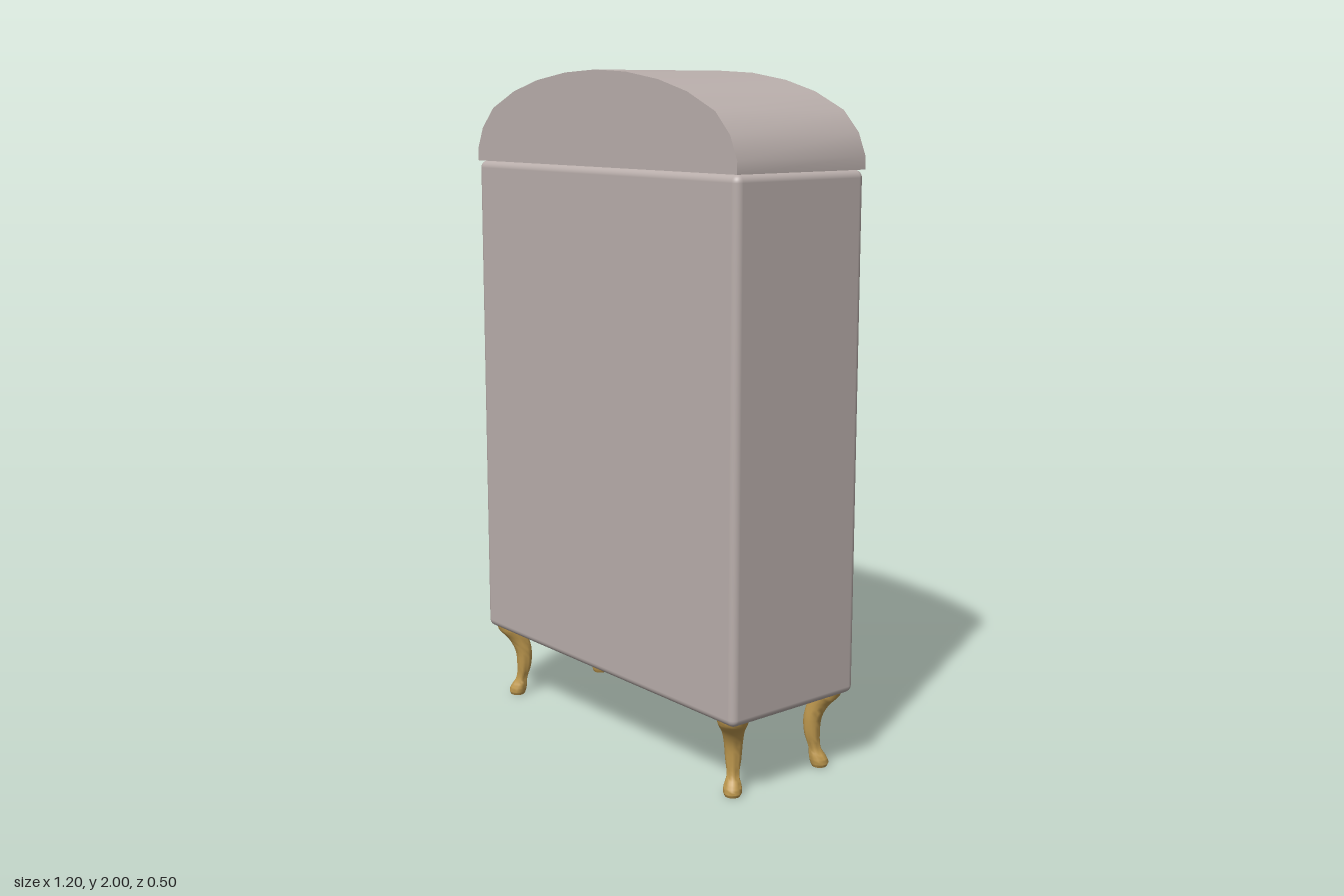
import * as THREE from 'three';
import { toCreasedNormals } from 'three/addons/utils/BufferGeometryUtils.js';
import { RoundedBoxGeometry } from 'three/addons/geometries/RoundedBoxGeometry.js';

const BACK = -0.222, FRONT = 0.248, MID = (BACK + FRONT) / 2, DEPTH = FRONT - BACK;

const mat = (name, color) => {
  const m = new THREE.MeshStandardMaterial({ color });
  m.name = name;
  return m;
};

// Arched door outline, shrunk inwards by inset
function archPath(inset, PathType = THREE.Shape) {
  const w = 0.54 - inset, spring = 1.38, p = new PathType();
  p.moveTo(-w, 0.3 + inset);
  p.lineTo(w, 0.3 + inset);
  p.lineTo(w, spring);
  p.absellipse(0, spring, w, 0.31 - inset, 0, Math.PI, false);
  p.lineTo(-w, 0.3 + inset);
  return p;
}

// Curved leg: a lathe whose rings slide along the outward diagonal
function legGeometry() {
  const rings = [ // y, radius, outward shift
    [0, 0.022, 0.012], [0.012, 0.027, 0.012], [0.03, 0.025, 0.008], [0.055, 0.018, 0.002],
    [0.1, 0.023, -0.004], [0.15, 0.027, -0.003], [0.19, 0.033, 0.008], [0.22, 0.043, 0.022], [0.24, 0.045, 0.026],
  ];
  const curve = new THREE.CatmullRomCurve3(rings.map(([y, r, s]) => new THREE.Vector3(r, y, s)));
  const pts = curve.getPoints(28);
  const profile = [new THREE.Vector2(0, 0), ...pts.map(p => new THREE.Vector2(p.x, Math.max(0, p.y))), new THREE.Vector2(0, 0.24)];
  const shifts = [pts[0].z, ...pts.map(p => p.z), pts[pts.length - 1].z];
  const geo = new THREE.LatheGeometry(profile, 16);
  const pos = geo.attributes.position;
  for (let i = 0; i < pos.count; i++) {
    const s = shifts[i % profile.length];
    pos.setX(i, pos.getX(i) + s);
    pos.setZ(i, pos.getZ(i) + s);
  }
  return toCreasedNormals(geo, 0.9);
}

export function createModel() {
  const model = new THREE.Group();
  model.name = 'wardrobe';
  const paint = mat('warm grey paint', 0xb9aeab);
  const gold = mat('gold', 0xbf994f);
  const glass = mat('mirror glass', 0xc5ccd5);

  const add = (name, geo, material, parent = model) => {
    const m = new THREE.Mesh(geo, material);
    m.name = name;
    parent.add(m);
    return m;
  };

  // Cabinet body
  add('body', new RoundedBoxGeometry(1.2, 1.5, DEPTH, 4, 0.022), paint).position.set(0, 0.98, MID);

  // Arched crown
  const half = [[0.6, 1.73], [0.6, 1.765], [0.572, 1.83], [0.513, 1.89], [0.4, 1.94], [0.28, 1.972], [0.14, 1.993]];
  const outline = [...half, [0, 2], ...half.slice().reverse().map(([x, y]) => [-x, y])];
  const crown = new THREE.ExtrudeGeometry(
    new THREE.Shape(outline.map(([x, y]) => new THREE.Vector2(x, y))),
    { depth: DEPTH, bevelEnabled: false });
  add('crown', toCreasedNormals(crown, 0.7), paint).position.z = BACK;

  // Mirror and its rounded gold frame
  const mirror = new THREE.ExtrudeGeometry(archPath(0.02), { depth: 0.006, bevelEnabled: false, curveSegments: 24 });
  add('mirror', mirror, glass).position.z = -0.228;
  const rim = archPath(0.012);
  rim.holes.push(archPath(0.024, THREE.Path));
  const frame = new THREE.ExtrudeGeometry(rim, {
    depth: 0.006, bevelThickness: 0.012, bevelSize: 0.012, bevelSegments: 4, curveSegments: 24 });
  add('mirrorFrame', toCreasedNormals(frame, 0.75), gold).position.z = -0.238;

  // Scrolled ornament on the crown
  const ornament = new THREE.Group();
  ornament.name = 'ornament';
  ornament.position.z = -0.225;
  model.add(ornament);
  const scrolls = {
    Arm: [[0.012, 1.95], [0.045, 1.93], [0.046, 1.89], [0.075, 1.868], [0.115, 1.872], [0.143, 1.9], [0.15, 1.932]],
    Curl: [[0.01, 1.962], [0.05, 1.968], [0.085, 1.962], [0.1, 1.94], [0.088, 1.92], [0.07, 1.925]],
  };
  for (const side of [-1, 1]) {
    for (const [key, pts] of Object.entries(scrolls)) {
      const curve = new THREE.CatmullRomCurve3(pts.map(([x, y]) => new THREE.Vector3(side * x, y, 0)));
      const r = key === 'Arm' ? 0.009 : 0.007;
      add('scroll' + key, new THREE.TubeGeometry(curve, 32, r, 8), gold, ornament);
      const [ex, ey] = pts[pts.length - 1];
      add('scrollTip', new THREE.SphereGeometry(r * 1.2, 10, 8), gold, ornament).position.set(side * ex, ey, 0);
    }
  }
  // Fan of petals at the centre
  for (let i = -2; i <= 2; i++) {
    const a = i * 0.6;
    const petal = add('petal', new THREE.SphereGeometry(1, 12, 8), gold, ornament);
    petal.scale.set(0.012, 0.024, 0.012);
    petal.position.set(Math.sin(a) * 0.024, 1.953 + Math.cos(a) * 0.016, -0.002);
    petal.rotation.z = -a;
  }
  const boss = add('boss', new THREE.SphereGeometry(1, 14, 10), gold, ornament);
  boss.scale.set(0.02, 0.018, 0.016);
  boss.position.set(0, 1.948, 0);

  // Four legs, each turned so its knee points out of its corner
  const leg = legGeometry();
  [[1, 1, 0], [1, -1, 1], [-1, -1, 2], [-1, 1, 3]].forEach(([sx, sz, turn]) => {
    const m = add(sz > 0 ? 'frontLeg' : 'backLeg', leg, gold);
    m.position.set(sx * 0.517, 0, MID + sz * 0.158);
    m.rotation.y = turn * Math.PI / 2;
  });
  return model;
}
